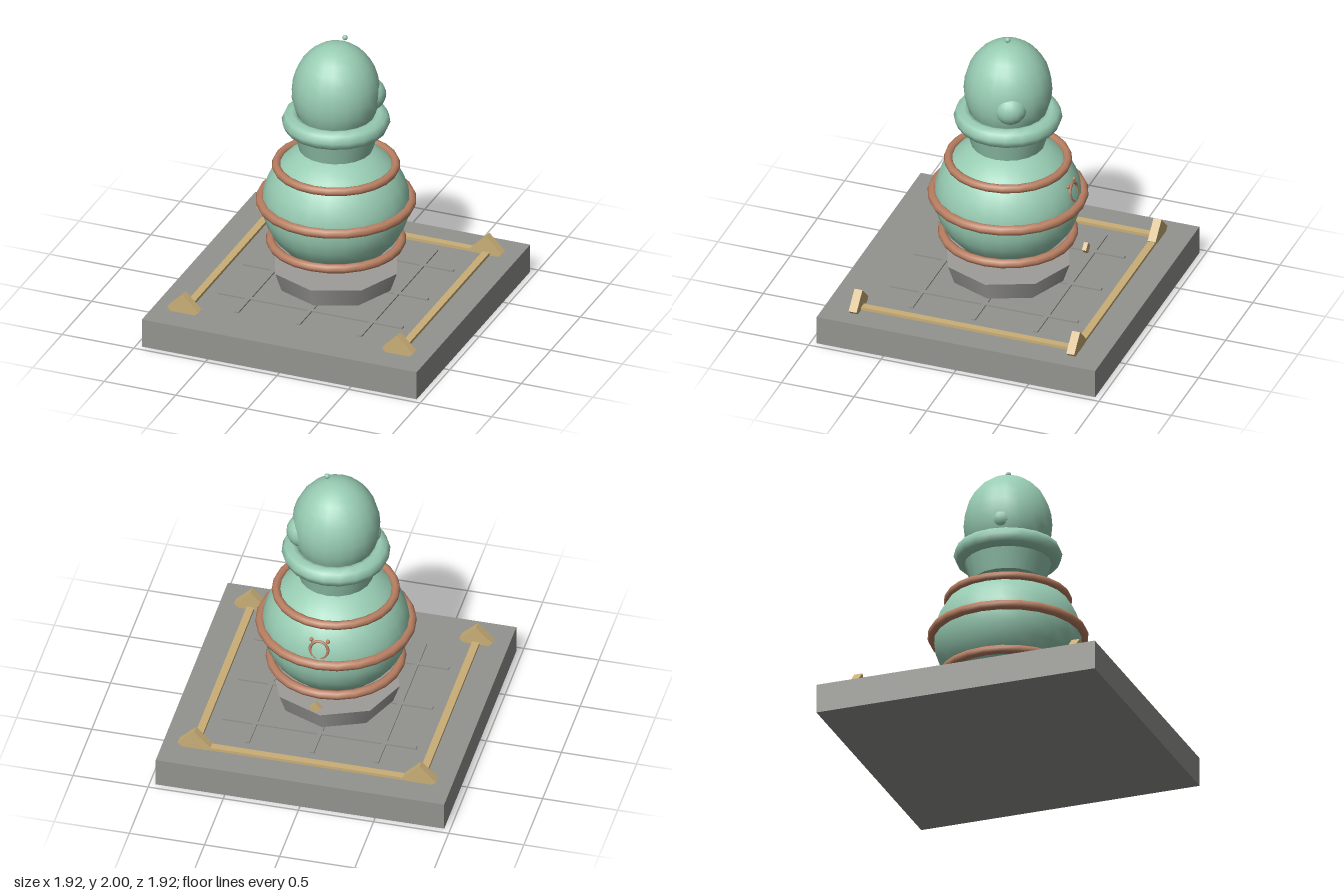
import * as THREE from 'three';

const mat = (name, color) => {
  const m = new THREE.MeshStandardMaterial({ color });
  m.name = name;
  return m;
};

export function createModel() {
  const root = new THREE.Group();
  const stone = mat('stone', 0x93938e);
  const paleStone = mat('paleStone', 0x9d9c99);
  const patina = mat('patina', 0x98ccb3);
  const copper = mat('copper', 0xb97f62);
  const brass = mat('brass', 0xc9ae76);

  const add = (name, geo, material, x = 0, y = 0, z = 0) => {
    const mesh = new THREE.Mesh(geo, material);
    mesh.name = name;
    mesh.position.set(x, y, z);
    root.add(mesh);
    return mesh;
  };
  const box = (name, w, h, d, material, x, y, z) =>
    add(name, new THREE.BoxGeometry(w, h, d), material, x, y, z);
  const ellipsoid = (name, rx, ry, y, segs, rows) =>
    add(name, new THREE.SphereGeometry(1, segs, rows).scale(rx, ry, rx), patina, 0, y, 0);
  const hoop = (name, radius, tube, y, material, sides, segs) =>
    add(name, new THREE.TorusGeometry(radius, tube, sides, segs).rotateX(Math.PI / 2), material, 0, y, 0);

  // Square slab and the raised lattice on it
  box('baseSlab', 1.92, 0.197, 1.92, stone, 0, 0.0985, 0);
  for (const p of [-0.43, 0, 0.43]) {
    box('latticeBar', 0.03, 0.014, 1.29, stone, p, 0.2, 0);
    box('latticeBar', 1.29, 0.014, 0.03, stone, 0, 0.2, p);
  }

  // Brass rails on three sides, with a diamond block at each corner
  for (const x of [-0.75, 0.75]) {
    box('sideRail', 0.05, 0.026, 1.5, brass, x, 0.204, 0);
    for (const z of [-0.75, 0.75]) {
      box('cornerDiamond', 0.155, 0.155, 0.055, brass, x, 0.222, z).rotation.z = Math.PI / 4;
    }
  }
  box('backRail', 1.5, 0.026, 0.05, brass, 0, 0.204, -0.75);

  // Eight-sided flared pedestal
  add('pedestal', new THREE.CylinderGeometry(0.425, 0.38, 0.13, 8), paleStone, 0, 0.276, 0);

  // Rounded body, flared neck, collar and head
  ellipsoid('body', 0.48, 0.425, 0.785, 24, 16);
  add('neck', new THREE.CylinderGeometry(0.3, 0.24, 0.2, 20), patina, 0, 1.28, 0);
  hoop('collar', 0.287, 0.065, 1.38, patina, 8, 20);
  ellipsoid('head', 0.287, 0.34, 1.59, 20, 14);

  // Uneven bulges on the sides of the head, and a floating bead above
  add('leftBulge', new THREE.SphereGeometry(0.11, 16, 12), patina, 0.195, 1.565, -0.09);
  add('rightBulge', new THREE.SphereGeometry(0.08, 14, 10), patina, -0.208, 1.53, 0.04);
  add('bead', new THREE.SphereGeometry(0.018, 10, 8), patina, 0.055, 1.982, -0.018);

  // Copper hoops around the body
  for (const [radius, tube, y] of [[0.387, 0.029, 1.056], [0.489, 0.033, 0.803], [0.424, 0.031, 0.515]]) {
    hoop('copperHoop', radius, tube, y, copper, 8, 24);
  }

  // Small ring set in the back of the body, and a brass diamond below it
  add('backRing', new THREE.TorusGeometry(0.06, 0.011, 6, 16), copper, 0, 0.9, -0.452).rotation.x = 0.18;
  for (const x of [-0.055, 0.055]) {
    add('backRingStud', new THREE.SphereGeometry(0.014, 8, 6), copper, x, 0.962, -0.435);
  }
  box('backDiamond', 0.056, 0.056, 0.028, brass, 0, 0.495, -0.538).rotation.z = Math.PI / 4;

  return root;
}
